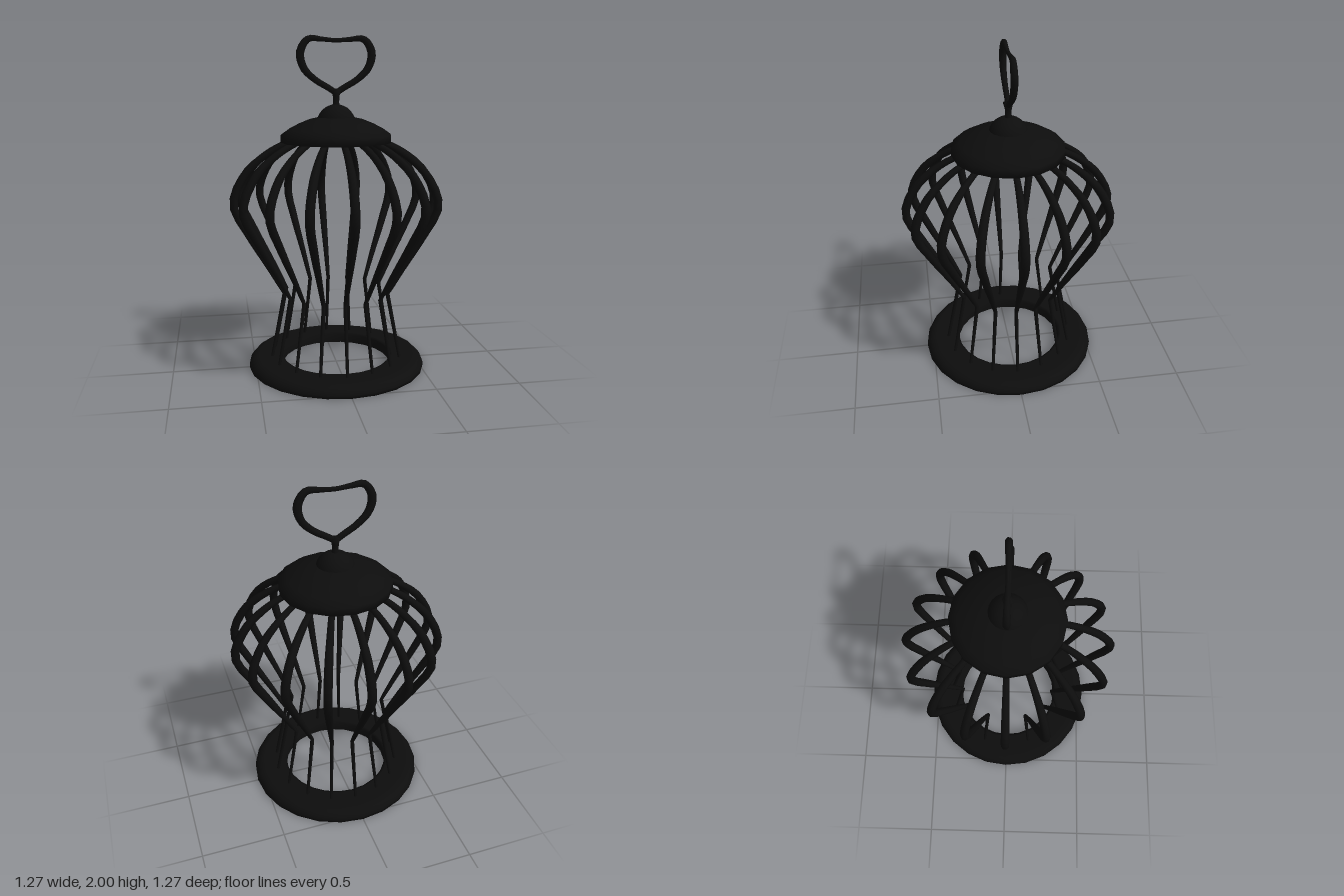
import * as THREE from 'three';

const iron = new THREE.MeshStandardMaterial({ color: 0x0d0d0d, side: THREE.DoubleSide });

const spline = (pts, n) =>
  new THREE.CatmullRomCurve3(pts.map(p => new THREE.Vector3(...p))).getPoints(n);

// Sweeps a round section along points in the xy plane; each point's z holds the radius there.
function sweep(points, sides, depth = 1) {
  const pos = [], idx = [], last = points.length - 1;
  points.forEach((p, i) => {
    const a = points[Math.max(i - 1, 0)], b = points[Math.min(i + 1, last)];
    const t = new THREE.Vector2(b.x - a.x, b.y - a.y).normalize();
    for (let j = 0; j < sides; j++) {
      const ang = (j / sides) * Math.PI * 2 + Math.PI / sides;
      const n = p.z * Math.cos(ang);
      pos.push(p.x + t.y * n, p.y - t.x * n, p.z * depth * Math.sin(ang));
      if (i < last) {
        const k = (j + 1) % sides, r = i * sides, s = r + sides;
        idx.push(r + j, s + j, r + k, r + k, s + j, s + k);
      }
    }
  });
  const g = new THREE.BufferGeometry();
  g.setAttribute('position', new THREE.Float32BufferAttribute(pos, 3));
  g.setIndex(idx);
  g.computeVertexNormals();
  return g;
}

const lathe = (pts, sides) =>
  new THREE.LatheGeometry(pts.map(p => new THREE.Vector2(...p)), sides);

export function createModel() {
  const model = new THREE.Group();
  const add = (name, geometry, parent = model) => {
    const mesh = new THREE.Mesh(geometry, iron);
    mesh.name = name;
    parent.add(mesh);
    return mesh;
  };

  // Flat base ring with a rounded outer edge
  add('baseRing', lathe([
    [0.33, 0], [0.54, 0], [0.54, 0.018], [0.53, 0.036], [0.513, 0.053],
    [0.48, 0.065], [0.35, 0.065], [0.33, 0.055], [0.33, 0],
  ], 24));

  // Sixteen bars: straight below the neck, then swelling out and curving in under the roof
  const barPath = [
    new THREE.Vector3(0.405, 0.03, 0.009),
    ...spline([
      [0.32, 0.46, 0.012], [0.41, 0.625, 0.017], [0.522, 0.82, 0.023], [0.614, 1.02, 0.026],
      [0.54, 1.2, 0.025], [0.41, 1.315, 0.021], [0.27, 1.385, 0.018], [0.04, 1.46, 0.014],
    ], 22),
  ];
  const barGeometry = sweep(barPath, 8);
  const bars = new THREE.Group();
  bars.name = 'bars';
  model.add(bars);
  for (let i = 0; i < 16; i++) {
    add('bar', barGeometry, bars).rotation.y = (i / 16) * Math.PI * 2;
  }

  // Domed roof, hollow underneath
  add('roof', lathe([
    [0.3, 1.38], [0.33, 1.38], [0.33, 1.425], [0.285, 1.457], [0.225, 1.488],
    [0.16, 1.514], [0.08, 1.532], [0, 1.536],
  ], 16));
  add('roofLining', lathe([[0.3, 1.38], [0.27, 1.42], [0.16, 1.475], [0, 1.5]], 16));

  // Half-round knob on the roof
  add('knob', new THREE.SphereGeometry(0.117, 20, 8, 0, Math.PI * 2, 0, Math.PI / 2))
    .position.y = 1.485;

  // Stem running through the knob up to the handle
  add('stem', lathe([[0, 1.44], [0.04, 1.44], [0.035, 1.56], [0.018, 1.61], [0.02, 1.65], [0.03, 1.685], [0, 1.695]], 10));

  // Heart-shaped hanging loop, thin at the dip and thick at the shoulders
  const half = [
    [0.05, 1.7, 0.019], [0.125, 1.745, 0.02], [0.19, 1.81, 0.023], [0.211, 1.9, 0.025],
    [0.165, 1.976, 0.021], [0.08, 1.975, 0.015],
  ];
  const mirrored = half.map(([x, y, r]) => [-x, y, r]).reverse();
  add('hangingLoop', sweep(
    spline([[0, 1.668, 0.019], ...half, [0, 1.969, 0.013], ...mirrored, [0, 1.668, 0.019]], 48), 8, 0.85));

  return model;
}
